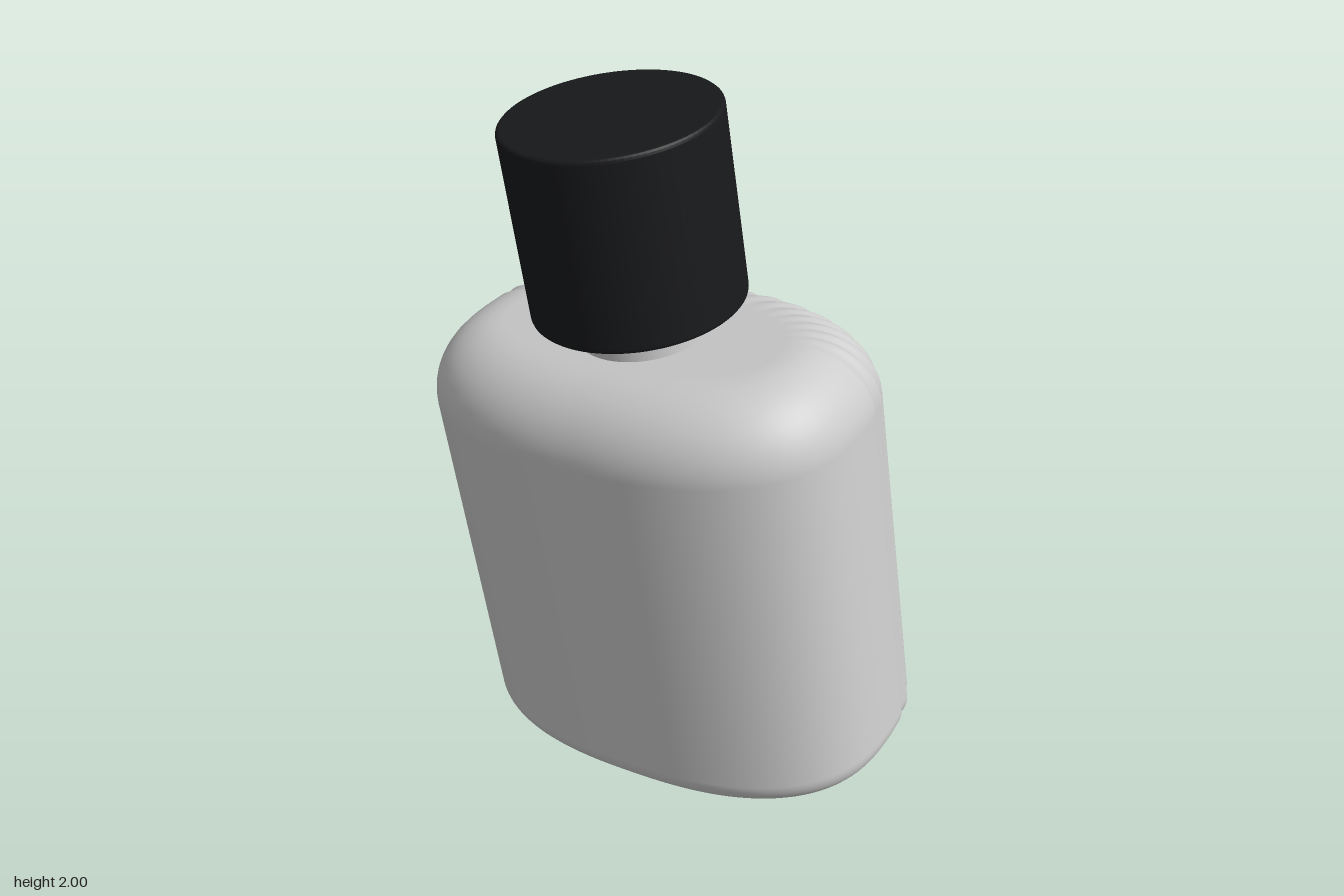
import * as THREE from 'three';

const HALF_W = 0.632, HALF_D = 0.41;   // body cross-section
const BASE = 0.073, TOP = 1.352;       // body ends along the tilted axis
const SEGMENTS = 360, RIBS = 40;

const glass = new THREE.MeshStandardMaterial({ color: 0xcccccc });
const black = new THREE.MeshStandardMaterial({ color: 0x18191b });

// Outline of the body: a superellipse, ribbed on the back half only
function outline(t, inset) {
  const c = Math.cos(t), s = Math.sin(t);
  const rib = 0.007 * THREE.MathUtils.smoothstep(-s, 0.08, 0.35) * Math.cos(RIBS * t);
  const power = v => Math.sign(v) * Math.abs(v) ** 0.8;
  return [(HALF_W - inset + rib) * power(c), (HALF_D - inset + rib) * power(s)];
}

// Heights and insets from the base rounding up to the shoulder rounding
function bodyProfile() {
  const rows = [], steps = 12, low = 0.09, high = 0.2;
  for (let i = 0; i <= steps; i++) {
    const a = (i / steps) * Math.PI / 2;
    rows.push({ y: BASE + low * (1 - Math.cos(a)), inset: low * (1 - Math.sin(a)) });
  }
  for (let i = 0; i <= steps; i++) {
    const a = (i / steps) * Math.PI / 2;
    rows.push({ y: TOP - high * (1 - Math.sin(a)), inset: high * (1 - Math.cos(a)) });
  }
  const first = rows[0], last = rows[rows.length - 1];
  return [{ ...first, scale: 0 }, { ...first, scale: 0.97 }, ...rows,
    { ...last, scale: 0.97 }, { ...last, scale: 0 }];
}

function bodyGeometry() {
  const rows = bodyProfile(), points = [], faces = [];
  rows.forEach(({ y, inset, scale = 1 }, i) => {
    for (let j = 0; j < SEGMENTS; j++) {
      const [x, z] = outline((j / SEGMENTS) * Math.PI * 2, inset);
      points.push(x * scale, y, z * scale);
      if (i === rows.length - 1) continue;
      const a = i * SEGMENTS + j, b = i * SEGMENTS + (j + 1) % SEGMENTS;
      const c = a + SEGMENTS, d = b + SEGMENTS;
      faces.push(a, c, b, b, c, d);
    }
  });
  const geometry = new THREE.BufferGeometry();
  geometry.setAttribute('position', new THREE.Float32BufferAttribute(points, 3));
  geometry.setIndex(faces);
  geometry.computeVertexNormals();
  return geometry;
}

// Solid cylinder with small bevelled rims
function bevelledCylinder(radius, y0, y1, bevel) {
  const shape = new THREE.Shape().absarc(0, 0, radius - bevel, 0, Math.PI * 2);
  const geometry = new THREE.ExtrudeGeometry(shape, {
    depth: y1 - y0 - 2 * bevel, curveSegments: 48,
    bevelThickness: bevel, bevelSize: bevel, bevelSegments: 3,
  });
  geometry.rotateX(-Math.PI / 2).translate(0, y0 + bevel, 0);
  // radial normals on the wall
  const p = geometry.attributes.position, n = geometry.attributes.normal;
  for (let i = 0; i < p.count; i++) {
    if (Math.abs(n.getY(i)) > 0.1) continue;
    const r = Math.hypot(p.getX(i), p.getZ(i));
    n.setXYZ(i, p.getX(i) / r, 0, p.getZ(i) / r);
  }
  return geometry;
}

export function createModel() {
  const bottle = new THREE.Group();
  bottle.name = 'bottle';
  const add = (name, geometry, material, x) => {
    const mesh = new THREE.Mesh(geometry, material);
    mesh.name = name;
    mesh.position.x = x;
    bottle.add(mesh);
  };

  add('body', bodyGeometry(), glass, 0.101);
  add('neck', new THREE.CylinderGeometry(0.177, 0.177, 0.1, 64).translate(0, 1.374, 0), glass, 0.11);
  add('cap', bevelledCylinder(0.288, 1.436, 1.962, 0.012), black, 0.11);

  // the whole bottle leans to one side, resting on its lower base edge
  bottle.rotation.z = THREE.MathUtils.degToRad(9);
  const model = new THREE.Group();
  model.name = 'tiltedBottle';
  model.add(bottle);
  return model;
}
